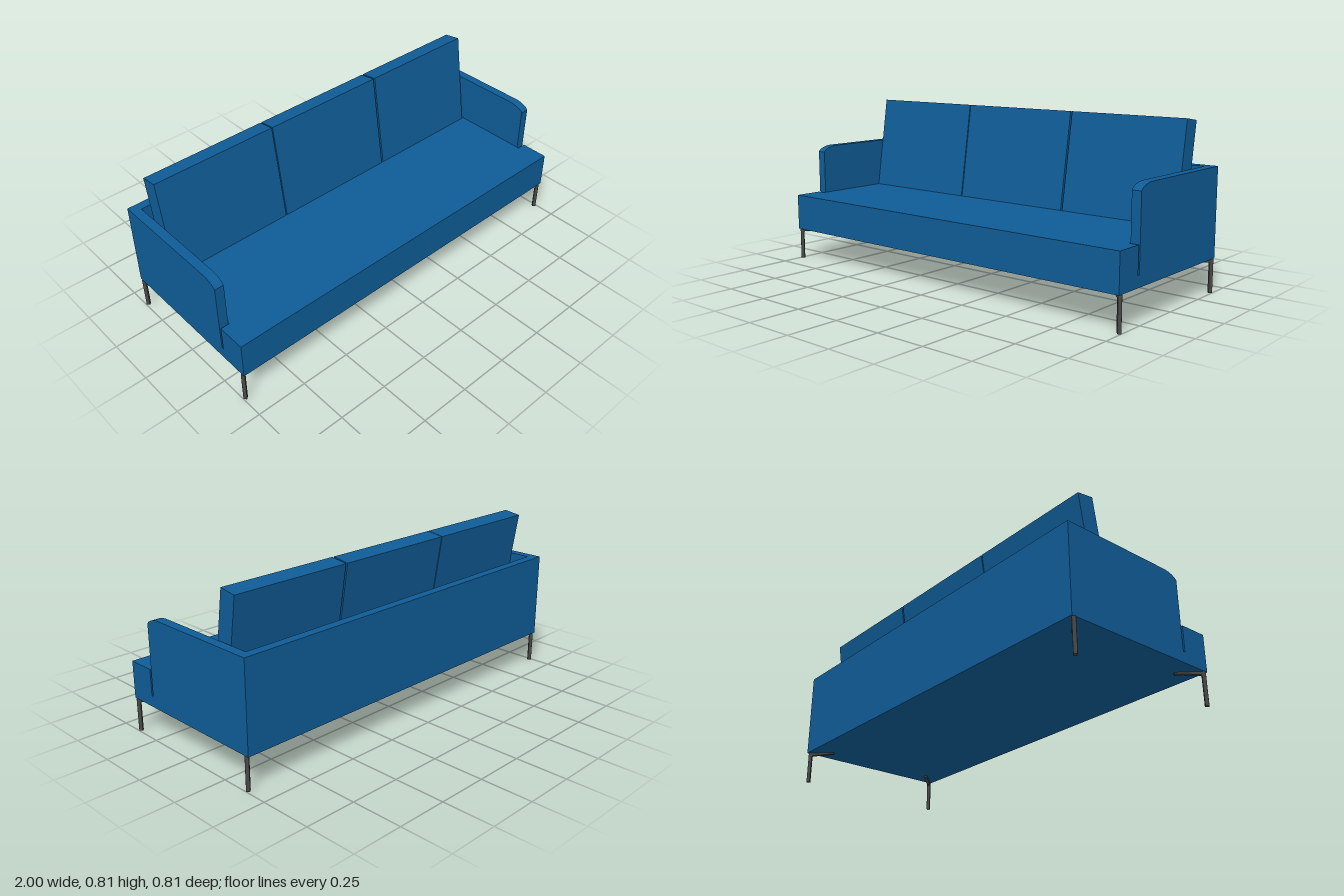
import * as THREE from 'three';

const fabric = new THREE.MeshStandardMaterial({ color: 0x0f5c96 });
const metal = new THREE.MeshStandardMaterial({ color: 0x484848 });

const W = 0.995;      // half width of the body
const D = 0.405;      // half depth of the body
const T = 0.045;      // arm and back panel thickness
const SEAT = 0.34, SPLIT = 0.213, BOTTOM = 0.16, TOP = 0.587;

function add(parent, name, geometry, material) {
  const mesh = new THREE.Mesh(geometry, material);
  mesh.name = name;
  parent.add(mesh);
  return mesh;
}

// Box given by its lower and upper corners
function boxBetween(x0, y0, z0, x1, y1, z1) {
  return new THREE.BoxGeometry(x1 - x0, y1 - y0, z1 - z0)
    .translate((x0 + x1) / 2, (y0 + y1) / 2, (z0 + z1) / 2);
}

function polygon(points) {
  return new THREE.Shape(points.map(([x, y]) => new THREE.Vector2(x, y)));
}

// Upright side panel with a rounded front top corner
function armGeometry() {
  const s = new THREE.Shape();
  s.moveTo(-D, SPLIT);
  s.lineTo(0.255, SPLIT);
  s.lineTo(0.255, 0.557);
  s.bezierCurveTo(0.245, 0.574, 0.21, TOP, 0.17, TOP);
  s.lineTo(-D, TOP);
  s.closePath();
  return new THREE.ExtrudeGeometry(s, { depth: T, bevelEnabled: false, curveSegments: 12 })
    .rotateY(-Math.PI / 2);
}

// Slim post with a tapering bracket that reaches inward under the body
function legGeometry() {
  const s = polygon([
    [-0.006, 0.003], [0.006, 0.003], [0.006, 0.141], [0.011, 0.147],
    [0.122, 0.153], [0.122, 0.157], [-0.006, 0.157],
  ]);
  return new THREE.ExtrudeGeometry(s, {
    depth: 0.012, bevelThickness: 0.003, bevelSize: 0.003, bevelSegments: 2,
  }).translate(0, 0, -0.006);
}

export function createModel() {
  const sofa = new THREE.Group();
  sofa.name = 'sofa';

  // Base slab and the seat, whose full-width front leaves a narrow slot before each arm
  add(sofa, 'base', boxBetween(-W, BOTTOM, -D, W, SPLIT, D), fabric);
  const inner = W - T;
  const seatPlan = polygon([
    [-W, D], [-W, 0.265], [-inner, 0.265], [-inner, T - D],
    [inner, T - D], [inner, 0.265], [W, 0.265], [W, D],
  ]);
  add(sofa, 'seat', new THREE.ExtrudeGeometry(seatPlan, { depth: SEAT - SPLIT, bevelEnabled: false })
    .rotateX(Math.PI / 2).translate(0, SEAT, 0), fabric);

  // Shell: two arms and the back panel
  add(sofa, 'leftArm', armGeometry(), fabric).position.x = W;
  add(sofa, 'rightArm', armGeometry(), fabric).position.x = -inner;
  add(sofa, 'backPanel', boxBetween(-inner, SPLIT, -D, inner, TOP, T - D), fabric);

  // Three leaning back cushions, pivoting on their lower front edge
  const spans = [[-0.95, -0.319], [-0.314, 0.321], [0.33, 0.94]];
  spans.forEach(([x0, x1], i) => {
    const cushion = add(sofa, 'backCushion' + (i + 1), boxBetween(x0, 0, -0.086, x1, 0.478, 0), fabric);
    cushion.position.set(0, SEAT, -0.132);
    cushion.rotation.x = -0.153;
  });

  // Four corner legs with brackets pointing diagonally inward
  for (const sx of [-1, 1]) {
    for (const sz of [-1, 1]) {
      const name = (sz > 0 ? 'front' : 'back') + (sx > 0 ? 'Left' : 'Right') + 'Leg';
      const leg = add(sofa, name, legGeometry(), metal);
      leg.position.set(sx * 0.988, 0, sz * 0.388);
      leg.rotation.y = Math.atan2(sz, -sx);
    }
  }
  return sofa;
}
